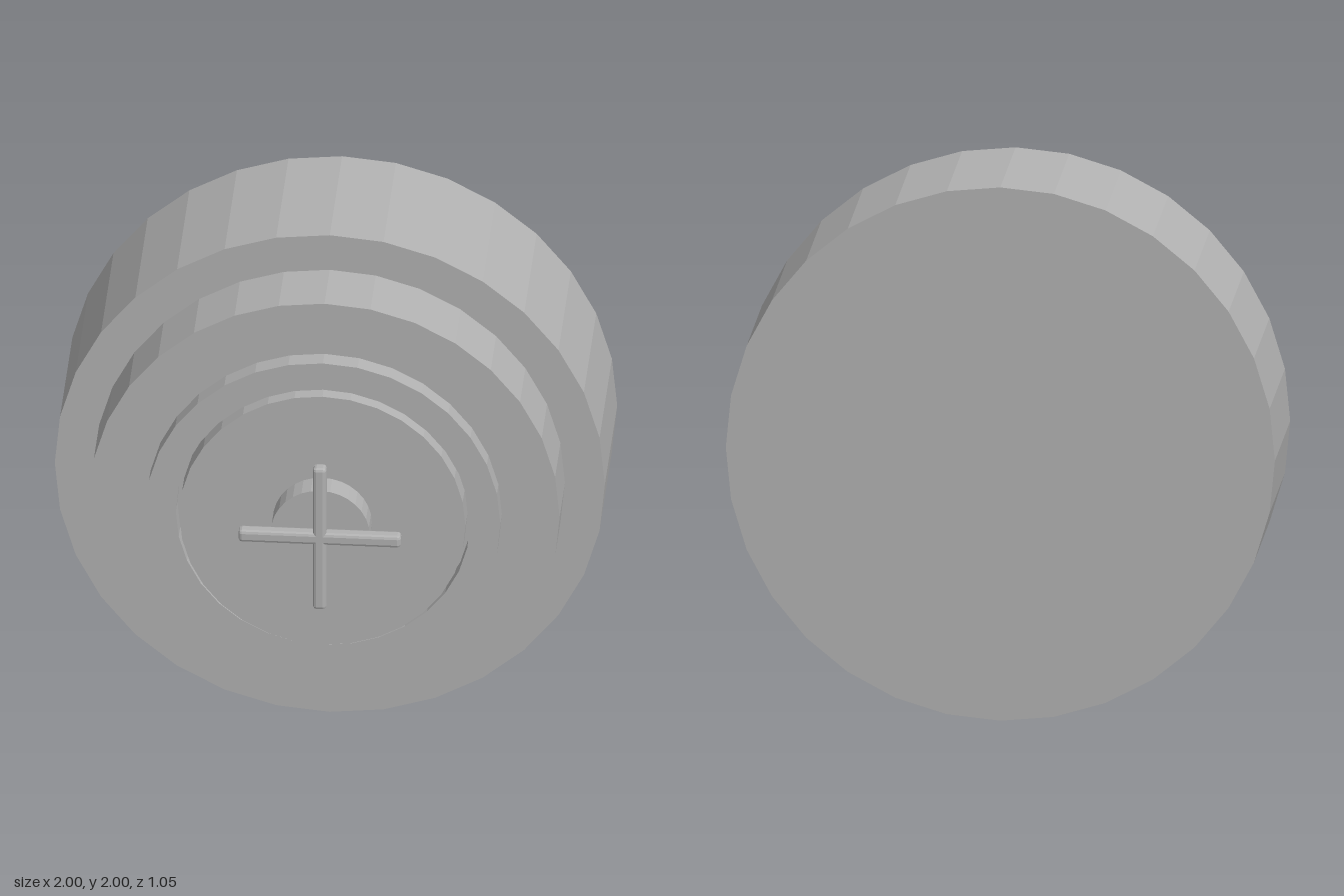
import * as THREE from 'three';
import { RoundedBoxGeometry } from 'three/addons/geometries/RoundedBoxGeometry.js';

const SIDES = 32;

export function createModel() {
  const model = new THREE.Group();
  model.name = 'steppedDial';
  const grey = new THREE.MeshStandardMaterial({ color: 0xb2b2b2 });
  grey.name = 'grey';

  // Every part is faceted: split the faces, then give each its own normal
  function add(name, geometry) {
    const faceted = geometry.index ? geometry.toNonIndexed() : geometry;
    faceted.computeVertexNormals();
    const mesh = new THREE.Mesh(faceted, grey);
    mesh.name = name;
    model.add(mesh);
    return mesh;
  }

  // Solid disc facing +z between two depths
  function disc(name, radius, back, front) {
    const g = new THREE.CylinderGeometry(radius, radius, front - back, SIDES);
    g.rotateX(Math.PI / 2);
    g.translate(0, 1, (back + front) / 2);
    return add(name, g);
  }

  disc('body', 1, -0.525, 0.045);
  disc('middleStep', 0.855, 0.045, 0.29);

  // Raised collar, leaving a narrow groove around the face plate
  const collar = new THREE.LatheGeometry(
    [[0.535, 0.29], [0.645, 0.29], [0.645, 0.36], [0.535, 0.36], [0.535, 0.29]]
      .map(([r, z]) => new THREE.Vector2(r, z)), SIDES);
  collar.rotateX(Math.PI / 2);
  collar.translate(0, 1, 0);
  add('collar', collar);

  disc('facePlate', 0.52, 0.29, 0.385);
  disc('spindle', 0.18, 0.385, 0.48);

  // Crossed handle bars with chamfered edges
  const bars = { horizontalBar: [0.59, 0.048], verticalBar: [0.048, 0.59] };
  for (const [name, [w, h]] of Object.entries(bars)) {
    add(name, new RoundedBoxGeometry(w, h, 0.05, 1, 0.012)).position.set(0, 1, 0.5);
  }
  return model;
}
